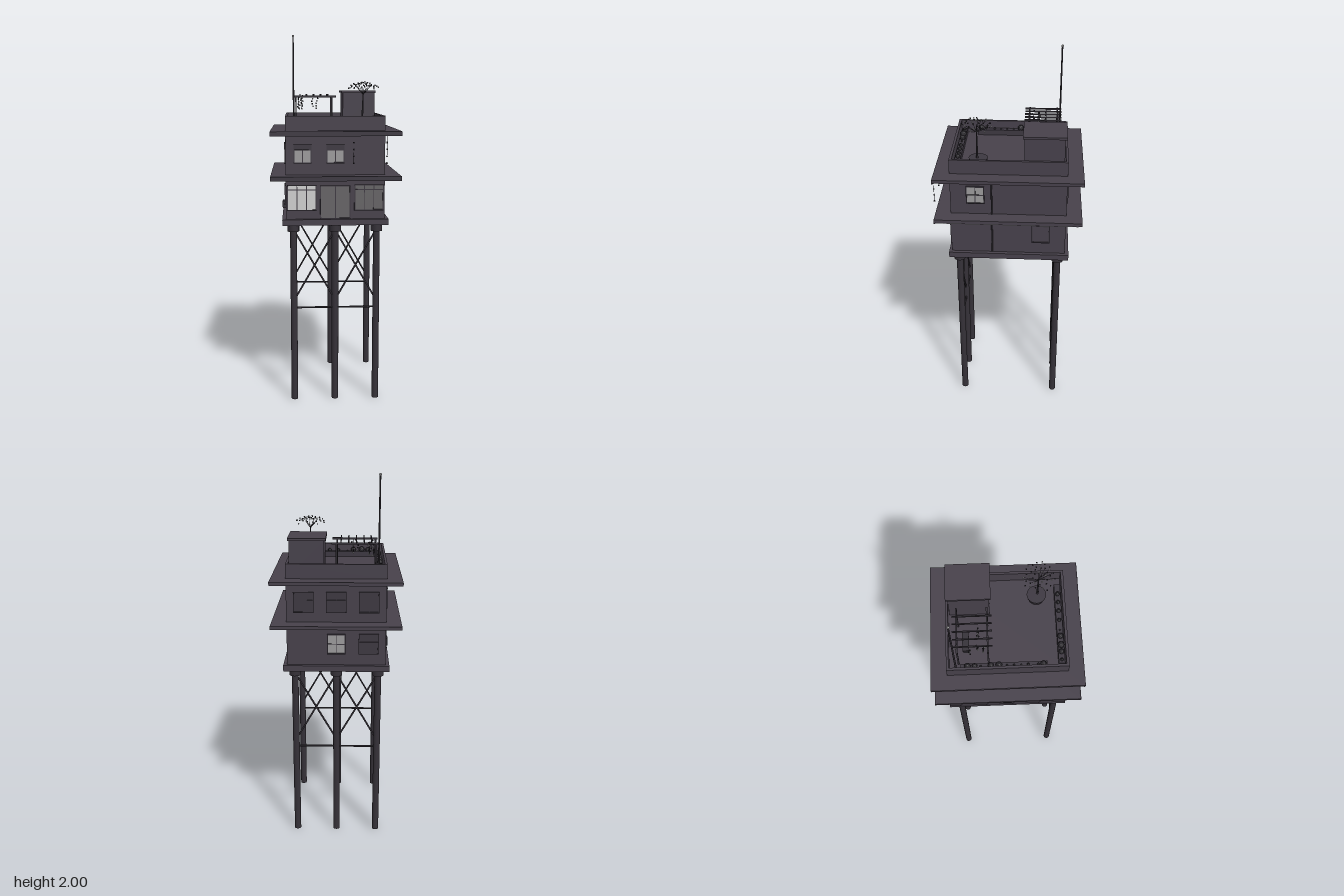
import * as THREE from 'three';

const mat = (name, color, extra = {}) => {
  const m = new THREE.MeshStandardMaterial({ color, ...extra });
  m.name = name;
  return m;
};

export function createModel() {
  const root = new THREE.Group();
  root.name = 'stiltHouse';
  const wall = mat('wall', 0x47414b);
  const steel = mat('steel', 0x353138);
  const trim = mat('trim', 0x3d3841);
  const foliage = mat('foliage', 0x2b292e, { flatShading: true });
  const litGlass = mat('litGlass', 0xcfcfcf);
  const glass = mat('glass', 0x9c9b9c);
  const dimGlass = mat('dimGlass', 0x666466);
  const pale = mat('paleLeaf', 0xb8b8b8, { flatShading: true });

  let seed = 7;
  const rnd = () => (seed = (seed * 16807) % 2147483647) / 2147483647;

  const add = (name, geo, m, parent = root) => {
    const mesh = new THREE.Mesh(geo, m);
    mesh.name = name;
    parent.add(mesh);
    return mesh;
  };
  // Box given by its minimum and maximum on each axis
  const box = (name, x0, x1, y0, y1, z0, z1, m = wall, parent = root) => {
    const b = add(name, new THREE.BoxGeometry(x1 - x0, y1 - y0, z1 - z0), m, parent);
    b.position.set((x0 + x1) / 2, (y0 + y1) / 2, (z0 + z1) / 2);
    return b;
  };
  // Round bar between two points
  const bar = (name, a, b, r, m = steel, r2 = r, sides = 6) => {
    const p = new THREE.Vector3(...a), q = new THREE.Vector3(...b);
    const c = add(name, new THREE.CylinderGeometry(r2, r, p.distanceTo(q), sides), m);
    c.position.copy(p).add(q).multiplyScalar(0.5);
    c.quaternion.setFromUnitVectors(new THREE.Vector3(0, 1, 0), q.sub(p).normalize());
    return c;
  };
  const ball = (name, x, y, z, r, m = foliage, detail = 0) => {
    const s = add(name, new THREE.IcosahedronGeometry(r, detail), m);
    s.position.set(x, y, z);
    return s;
  };

  // Stilts with caps, cross braces and ties
  const colX = [-0.222, 0, 0.222];
  for (const z of [0.262, -0.27]) {
    for (const x of colX) {
      bar('stilt', [x, 0, z], [x, 0.98, z], 0.018, steel, 0.018, 16);
      bar('stiltCap', [x, 0.942, z], [x, 0.98, z], 0.031, steel, 0.031, 16);
    }
    for (const s of [-1, 1]) {
      bar('crossBrace', [s * 0.21, 0.93, z], [s * 0.01, 0.58, z], 0.005);
      bar('crossBrace', [s * 0.01, 0.93, z], [s * 0.21, 0.58, z], 0.005);
    }
    bar('tieBar', [-0.222, 0.52, z], [0.222, 0.52, z], 0.005);
  }

  // Deck, two storeys and the projecting eaves
  box('deck', -0.28, 0.28, 0.98, 1.012, -0.328, 0.312);
  box('lowerStorey', -0.26, 0.26, 1.012, 1.23, -0.308, 0.295);
  box('upperStorey', -0.26, 0.26, 1.235, 1.465, -0.308, 0.295);
  for (const y of [1.228, 1.458]) {
    box('eave', -0.338, 0.338, y, y + 0.018, -0.39, 0.372);
    box('eaveFascia', -0.338, 0.338, y - 0.006, y + 0.018, 0.368, 0.375, trim);
  }
  box('lightStrip', 0.332, 0.337, 1.225, 1.228, -0.37, 0.365, pale);

  // Parapet ring and roof floor
  const ring = new THREE.Shape();
  ring.moveTo(-0.26, -0.295).lineTo(0.26, -0.295).lineTo(0.26, 0.308).lineTo(-0.26, 0.308);
  const hole = new THREE.Path();
  hole.moveTo(-0.247, -0.281).lineTo(-0.247, 0.296).lineTo(0.247, 0.296).lineTo(0.247, -0.281);
  ring.holes.push(hole);
  const parapet = add('parapet', new THREE.ExtrudeGeometry(ring, { depth: 0.078, bevelEnabled: false }), wall);
  parapet.rotation.x = -Math.PI / 2;
  parapet.position.y = 1.474;
  box('roofFloor', -0.247, 0.247, 1.47, 1.48, -0.296, 0.281);

  // Stair house
  box('stairHouse', 0.062, 0.242, 1.48, 1.67, -0.29, -0.087);
  box('stairHouseRoof', 0.053, 0.248, 1.668, 1.68, -0.3, -0.078);

  // Windows and doors on a wall: u runs along the wall, dir is the way it faces
  const faces = {
    front: [0, 0, 0.295, 0], back: [0, 0, -0.308, Math.PI],
    left: [0.26, 0, 0, Math.PI / 2], right: [-0.26, 0, 0, -Math.PI / 2],
  };
  const opening = (name, face, u, y0, y1, w, pane, panes = 2, transom = 0.72) => {
    const g = new THREE.Group();
    g.name = name;
    const [x, y, z, turn] = faces[face];
    g.position.set(x, y, z);
    g.rotation.y = turn;
    root.add(g);
    const a = u - w / 2, b = u + w / 2, f = 0.005;
    box('pane', a, b, y0, y1, 0, 0.003, pane, g);
    for (let i = 0; i <= panes; i++) {
      const c = a + (w * i) / panes, t = i % panes ? 0.002 : f / 2;
      box('upright', c - t, c + t, y0, y1, 0, 0.007, trim, g);
    }
    for (const h of [y0, y1]) box('rail', a - f / 2, b + f / 2, h - f / 2, h + f / 2, 0, 0.008, trim, g);
    if (transom) {
      const t = y0 + (y1 - y0) * transom;
      box('transom', a, b, t - 0.002, t + 0.002, 0, 0.007, trim, g);
    }
    return g;
  };
  opening('shopWindow', 'front', -0.177, 1.06, 1.192, 0.15, litGlass, 3, 0.82);
  opening('entrance', 'front', 0, 1.016, 1.188, 0.155, dimGlass, 2, 0);
  opening('shopWindow', 'front', 0.177, 1.06, 1.192, 0.15, dimGlass, 3, 0.82);
  for (const x of [-0.172, 0]) {
    const g = opening('upperWindow', 'front', x, 1.31, 1.405, 0.088, glass, 2, 0.7);
    box('blind', x - 0.044, x + 0.044, 1.379, 1.405, 0.003, 0.005, trim, g);
  }
  opening('upperWindow', 'left', -0.165, 1.31, 1.405, 0.09, glass, 2, 0.5);
  opening('shutter', 'left', 0.177, 1.08, 1.18, 0.09, wall, 1, 0);
  for (const x of [-0.17, 0, 0.17]) opening('upperWindow', 'back', x, 1.3, 1.405, 0.1, trim, 2, 0.6);
  opening('lowerWindow', 'back', 0, 1.075, 1.18, 0.09, glass, 2, 0.5);
  opening('lowerWindow', 'back', 0.17, 1.075, 1.18, 0.1, trim, 1, 0.6);
  for (const z of [-0.17, 0.17]) {
    opening('upperWindow', 'right', z, 1.3, 1.405, 0.09, trim, 2, 0.6);
    opening('lowerWindow', 'right', z, 1.08, 1.18, 0.09, z > 0 ? glass : trim, 2, 0.5);
  }

  // Drainpipe and air conditioner
  bar('drainpipe', [0.264, 1.015, 0.08], [0.264, 1.46, 0.08], 0.004);
  box('airConditioner', -0.282, -0.26, 1.03, 1.07, -0.03, 0.03, steel);

  // Mast
  bar('mast', [-0.217, 1.48, -0.265], [-0.217, 1.995, -0.265], 0.005, steel, 0.004, 8);
  ball('mastTip', -0.217, 1.993, -0.265, 0.007, pale, 1);

  // Pergola with slats, bench and trailing vines
  for (const z of [-0.249, -0.1]) {
    box('pergolaBeam', -0.213, 0.025, 1.642, 1.652, z - 0.004, z + 0.004, steel);
    for (const x of [-0.203, 0]) box('pergolaPost', x - 0.004, x + 0.004, 1.48, 1.645, z - 0.004, z + 0.004, steel);
  }
  for (const x of [-0.18, -0.142, -0.102, -0.062, -0.023])
    box('pergolaSlat', x - 0.003, x + 0.003, 1.652, 1.66, -0.27, -0.077, steel);
  box('benchSeat', -0.148, -0.041, 1.508, 1.516, -0.228, -0.195, steel);
  for (const x of [-0.14, -0.049]) box('benchLeg', x - 0.004, x + 0.004, 1.48, 1.508, -0.225, -0.198, steel);
  for (const [x, z] of [[-0.19, -0.19], [-0.17, -0.255], [-0.17, -0.155], [-0.18, -0.12], [-0.105, -0.15], [-0.085, -0.145]]) {
    const low = 1.575 + rnd() * 0.03;
    bar('vine', [x, low, z], [x, 1.652, z], 0.001);
    for (let i = 0; i < 5; i++)
      ball('vineLeaf', x + (rnd() - 0.5) * 0.016, low + i * 0.014, z + (rnd() - 0.5) * 0.016, 0.005, i % 3 ? foliage : pale);
  }

  // Planters with shrubs
  box('sidePlanter', -0.243, -0.214, 1.48, 1.51, -0.24, 0.19, trim);
  box('frontPlanter', -0.23, 0.2, 1.48, 1.51, 0.247, 0.278, trim);
  const shrub = (x, z, r) => ball('shrub', x, 1.508 + r * 0.7, z, r, foliage, 1);
  for (const [z, r] of [[-0.205, 0.016], [-0.17, 0.014], [-0.14, 0.005], [-0.09, 0.015], [-0.05, 0.017],
    [-0.01, 0.005], [0.025, 0.005], [0.06, 0.004], [0.095, 0.007], [0.145, 0.006], [0.17, 0.015]]) shrub(-0.229, z, r);
  for (const [x, r] of [[-0.212, 0.009], [-0.17, 0.014], [-0.135, 0.017], [-0.087, 0.015], [-0.053, 0.005],
    [0, 0.01], [0.05, 0.011], [0.098, 0.01], [0.143, 0.012]]) shrub(x, 0.262, r);

  // Potted umbrella tree
  const tx = 0.15, tz = 0.16;
  const pot = add('treePot', new THREE.CylinderGeometry(0.05, 0.042, 0.035, 20), trim);
  pot.position.set(tx - 0.005, 1.4975, tz - 0.005);
  bar('trunk', [tx, 1.5, tz], [tx + 0.005, 1.67, tz], 0.006, steel, 0.003);
  for (let i = 0; i < 44; i++) {
    const a = i * 2.4, r = 0.083 * Math.sqrt((i + 0.5) / 44);
    const x = tx + 0.005 + Math.cos(a) * r, z = tz + Math.sin(a) * r;
    const y = 1.722 - r * r * 4 + (rnd() - 0.5) * 0.014;
    ball('treeLeaf', x, y, z, 0.0045, i % 3 ? foliage : pale);
    if (i % 4 === 0) bar('branch', [tx + 0.005, 1.66, tz], [x, y, z], 0.0015, steel, 0.0008, 5);
  }

  // Hanging chimes at the front eave
  for (const x of [0.09, 0.26]) {
    bar('chimeCord', [x, 1.31, 0.377], [x, 1.46, 0.377], 0.001);
    for (const y of [1.42, 1.385, 1.35, 1.315]) ball('chimeBead', x, y, 0.377, 0.005, foliage);
  }
  return root;
}
